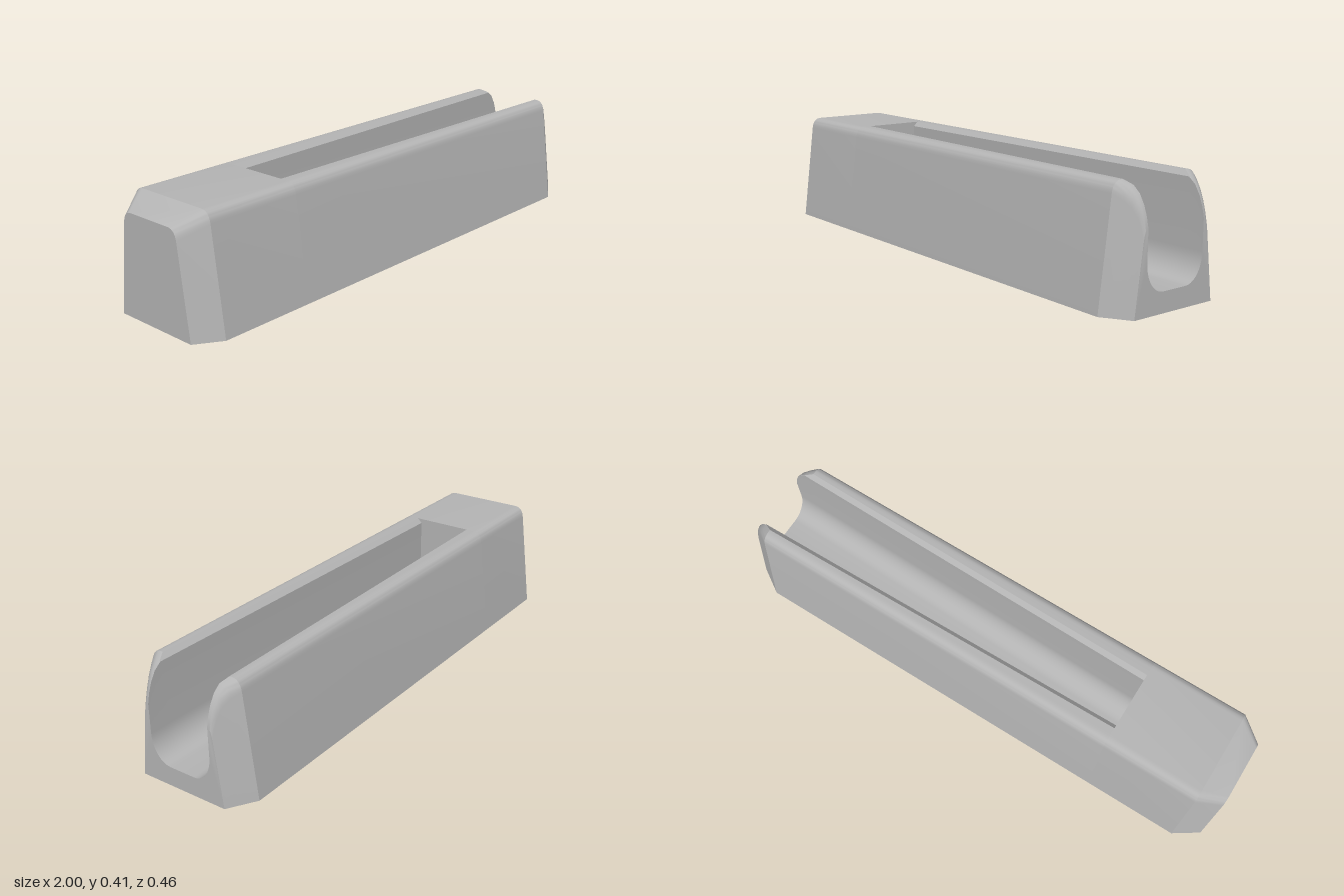
import * as THREE from 'three';
import { toCreasedNormals } from 'three/addons/utils/BufferGeometryUtils.js';

const HEIGHT = 0.412, BACK = -0.55, DEEP = -0.75;
const lerp = THREE.MathUtils.lerp;

// Mirror half of a section (points [z, y]) into a full counter-clockwise loop
const mirror = (half) => [...half, ...half.map(([z, y]) => [-z, y]).reverse()];

// Outer flank with its rounded top edge; inset narrows it at the chamfered ends
function flank(h, inset, minTop) {
  const width = (y) => 0.23 - 0.127 * y - inset;
  const curve = new THREE.QuadraticBezierCurve(
    new THREE.Vector2(width(h - 0.04), h - 0.04),
    new THREE.Vector2(width(h), h),
    new THREE.Vector2(Math.max(width(h) - 0.033, minTop), h));
  return [[width(0), 0], ...curve.getPoints(7).map((p) => [p.x, p.y])];
}

// Half of the slot floor, from its wall down to the centre
function floorArc(x) {
  const t = (x - BACK) / (1 - BACK);
  const s = lerp(0.097, 0.122, t), flat = lerp(0.01, 0.05, t), top = lerp(0.16, 0.168, t);
  const points = [];
  for (let i = 0; i <= 10; i++) {
    const a = (i / 10) * Math.PI / 2;
    points.push([flat + (s - flat) * Math.cos(a), top - (top - 0.07) * Math.sin(a)]);
  }
  return points;
}

// Slot edge: small bevel at the top, then the wall
function slotEdge(x, h) {
  const s = floorArc(x)[0][0], y = Math.min(0.395, h);
  return [[s + h - y, h], [s, y]];
}

// Skin a list of { x, loop } stations, with optional end caps
function loft(stations, capStart, capEnd) {
  const positions = [], index = [], n = stations[0].loop.length;
  for (const { x, loop } of stations) for (const [z, y] of loop) positions.push(x, y, z);
  for (let s = 0; s < stations.length - 1; s++) {
    for (let i = 0; i < n; i++) {
      const j = (i + 1) % n, a = s * n, b = a + n;
      index.push(a + i, b + i, a + j, a + j, b + i, b + j);
    }
  }
  const cap = (s, flip) => {
    const contour = stations[s].loop.map(([z, y]) => new THREE.Vector2(z, y));
    const cw = THREE.ShapeUtils.isClockWise(contour);
    const order = contour.map((_, i) => (cw ? n - 1 - i : i));
    const points = order.map((i) => contour[i]);
    for (const [a, b, c] of THREE.ShapeUtils.triangulateShape(points, [])) {
      const f = [a, b, c].map((i) => s * n + order[i]);
      index.push(...(flip ? f.reverse() : f));
    }
  };
  // Unflipped caps face -x, flipped caps face +x
  if (capStart) cap(0, capStart === 'right');
  if (capEnd) cap(stations.length - 1, capEnd === 'right');
  const geometry = new THREE.BufferGeometry();
  geometry.setAttribute('position', new THREE.Float32BufferAttribute(positions, 3));
  geometry.setIndex(index);
  return toCreasedNormals(geometry, 0.4);
}

// Teardrop opening: floor arc below, pointed roof above
function teardrop(x, apex) {
  const arc = floorArc(x), [s, y] = arc[0];
  const r = s * 0.82;
  const roof = [[0, apex], [r, apex - r], [s * 0.95, (apex - r + y) / 2 + 0.006]];
  return mirror([...roof, ...arc]);
}

export function createModel() {
  const group = new THREE.Group();
  const grey = new THREE.MeshStandardMaterial({ color: 0xb4b4b4 });
  grey.name = 'grey';
  const add = (name, geometry) => {
    const mesh = new THREE.Mesh(geometry, grey);
    mesh.name = name;
    group.add(mesh);
  };

  // Solid end with chamfered corners
  add('solidEnd', loft([[-1, 0.365, 0.06], [-0.91, HEIGHT, 0], [BACK, HEIGHT, 0]].map(
    ([x, h, inset]) => ({ x, loop: mirror(flank(h, inset, 0)) })), 'left', null));

  // Slotted body, its top curving down at the open end
  const outline = [[BACK, HEIGHT], [0.905, HEIGHT], [0.935, 0.397], [0.96, 0.375],
    [0.98, 0.342], [0.992, 0.31], [1, 0.275]];
  add('slottedBody', loft(outline.map(([x, h]) => {
    const inset = Math.max(0, (x - 0.905) / 0.095) * 0.06;
    const edge = slotEdge(x, h);
    return { x, loop: mirror([...flank(h, inset, edge[0][0]), ...edge, ...floorArc(x)]) };
  }), null, 'right'));

  // Wall closing the slot above the teardrop opening
  const mouth = teardrop(BACK, 0.295);
  const edge = slotEdge(BACK, HEIGHT);
  const wall = new THREE.Shape(mirror([
    ...mouth.slice(0, 4), edge[1], edge[0],
  ]).map(([z, y]) => new THREE.Vector2(-z, y)));
  const wallGeometry = new THREE.ShapeGeometry(wall);
  wallGeometry.rotateY(Math.PI / 2).translate(BACK, 0, 0);
  add('slotWall', wallGeometry);

  // Blind teardrop pocket running on into the solid end
  const deep = teardrop(DEEP, 0.267);
  add('pocket', loft([{ x: DEEP, loop: deep }, { x: BACK, loop: mouth }], 'right', null));

  return group;
}
